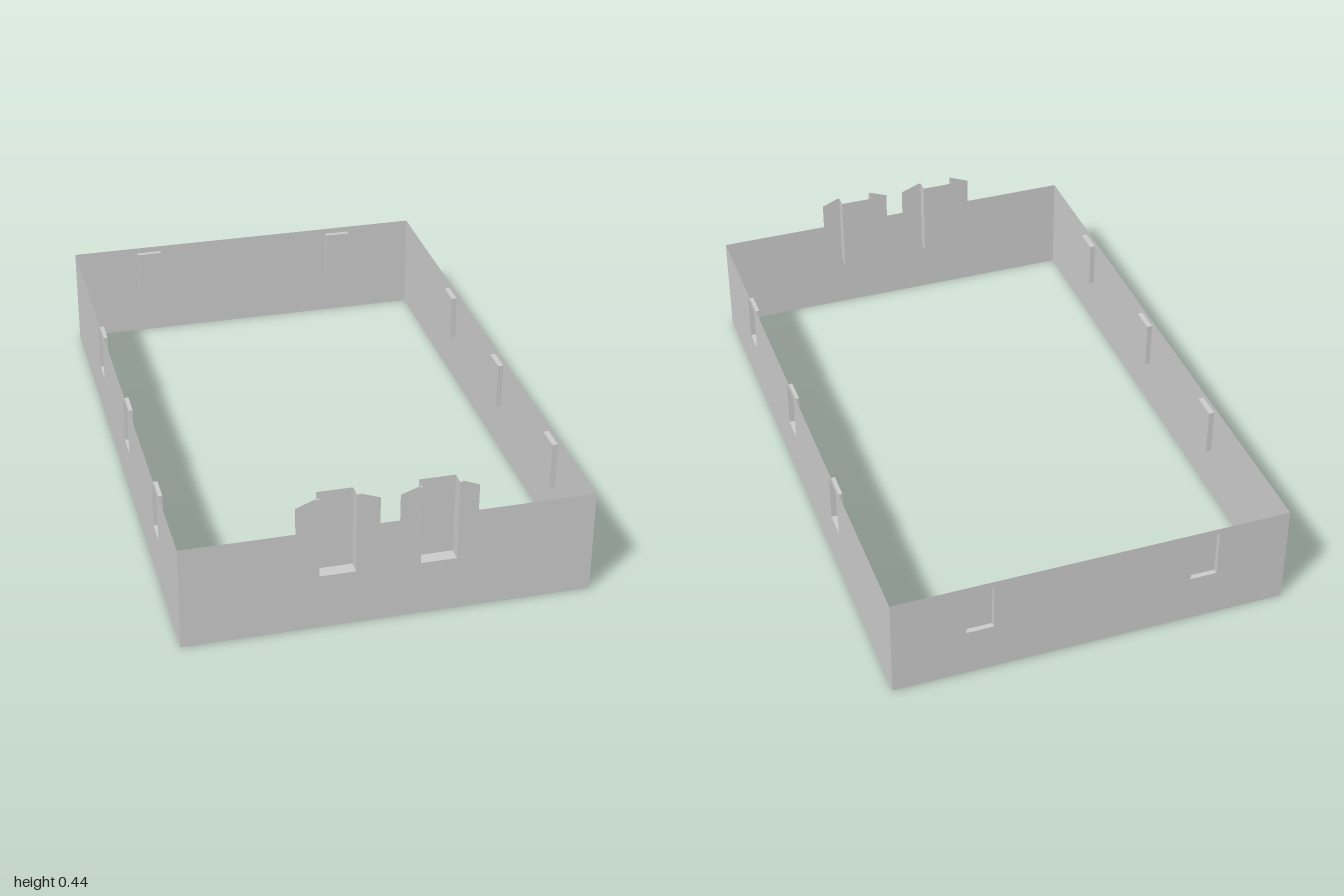
import * as THREE from 'three';

const HX = 0.628;      // half width of the enclosure
const FRONT = 0.995;   // front wall plane
const BACK = 1;        // distance of the back wall plane
const H = 0.335;       // wall height
const material = new THREE.MeshStandardMaterial({
  color: 0xcccccc, flatShading: true, side: THREE.DoubleSide,
});

function add(group, name, geometry) {
  const mesh = new THREE.Mesh(geometry, material);
  mesh.name = name;
  group.add(mesh);
  return mesh;
}

const polygon = (points) => new THREE.Shape(points.map(([x, y]) => new THREE.Vector2(x, y)));

// Niche behind an opening: a box without its front, optionally without its top
function addNiche(group, name, x0, x1, y0, y1, zBack, zFront, openTop) {
  const box = new THREE.BoxGeometry(x1 - x0, y1 - y0, zFront - zBack);
  const removed = openTop ? [2, 4] : [4];
  const index = Array.from(box.index.array).filter((_, i) => !removed.includes(Math.floor(i / 6)));
  box.setIndex(index);
  box.clearGroups();
  add(group, name, box).position.set((x0 + x1) / 2, (y0 + y1) / 2, (zBack + zFront) / 2);
}

// Plain wall with rectangular window niches, facing local +z
function makeWall(name, u0, u1, windows, depth) {
  const wall = new THREE.Group();
  wall.name = name;
  const shape = polygon([[u0, 0], [u1, 0], [u1, H], [u0, H]]);
  const y0 = 0.16, y1 = 0.315, half = 0.0425;
  for (const u of windows) {
    shape.holes.push(polygon([[u - half, y0], [u - half, y1], [u + half, y1], [u + half, y0]]));
    addNiche(wall, 'windowNiche', u - half, u + half, y0, y1, -depth, 0, false);
  }
  add(wall, 'wallPanel', new THREE.ShapeGeometry(shape));
  return wall;
}

// Front wall with two raised gables, each cut by a tall niche open at the top
function makeFrontWall() {
  const wall = new THREE.Group();
  wall.name = 'frontWall';
  const gables = [
    { x0: -0.285, x1: -0.033, w0: -0.226, w1: -0.094, top: 0.445, sill: 0.172 },
    { x0: 0.026, x1: 0.264, w0: 0.08, w1: 0.213, top: 0.442, sill: 0.169 },
  ];
  const rim = 0.011, shoulder = 0.422;
  const outline = [[HX, 0], [-HX, 0], [-HX, H]];
  for (const { x0, x1, w0, w1, top, sill } of gables) {
    const a = w0 + rim, b = w1 - rim, bottom = sill + rim;
    outline.push([x0, H], [x0, shoulder], [w0, top], [a, top], [a, bottom],
      [b, bottom], [b, top], [w1, top], [x1, shoulder], [x1, H]);

    // thin raised U-shaped frame
    const frame = polygon([[w0, top], [w0, sill], [w1, sill], [w1, top],
      [b, top], [b, bottom], [a, bottom], [a, top]]);
    add(wall, 'nicheFrame', new THREE.ExtrudeGeometry(frame, { depth: 0.005, bevelEnabled: false }));
    addNiche(wall, 'tallNiche', a, b, bottom, top, -0.037, 0.005, true);
  }
  outline.push([HX, H]);
  add(wall, 'frontPanel', new THREE.ShapeGeometry(polygon(outline.reverse())));
  wall.position.z = FRONT;
  return wall;
}

export function createModel() {
  const model = new THREE.Group();
  model.name = 'walledEnclosure';
  model.add(makeFrontWall());

  const back = makeWall('backWall', -HX, HX, [-0.355, 0.357], 0.016);
  back.rotation.y = Math.PI;
  back.position.z = -BACK;
  model.add(back);

  // side walls, mirrored with matching window positions along z
  const windowZ = [-0.41, 0.1, 0.625];
  const left = makeWall('leftWall', -FRONT, BACK, windowZ.map((z) => -z), 0.018);
  left.rotation.y = Math.PI / 2;
  left.position.x = HX;
  const right = makeWall('rightWall', -BACK, FRONT, windowZ, 0.018);
  right.rotation.y = -Math.PI / 2;
  right.position.x = -HX;
  model.add(left, right);
  return model;
}
